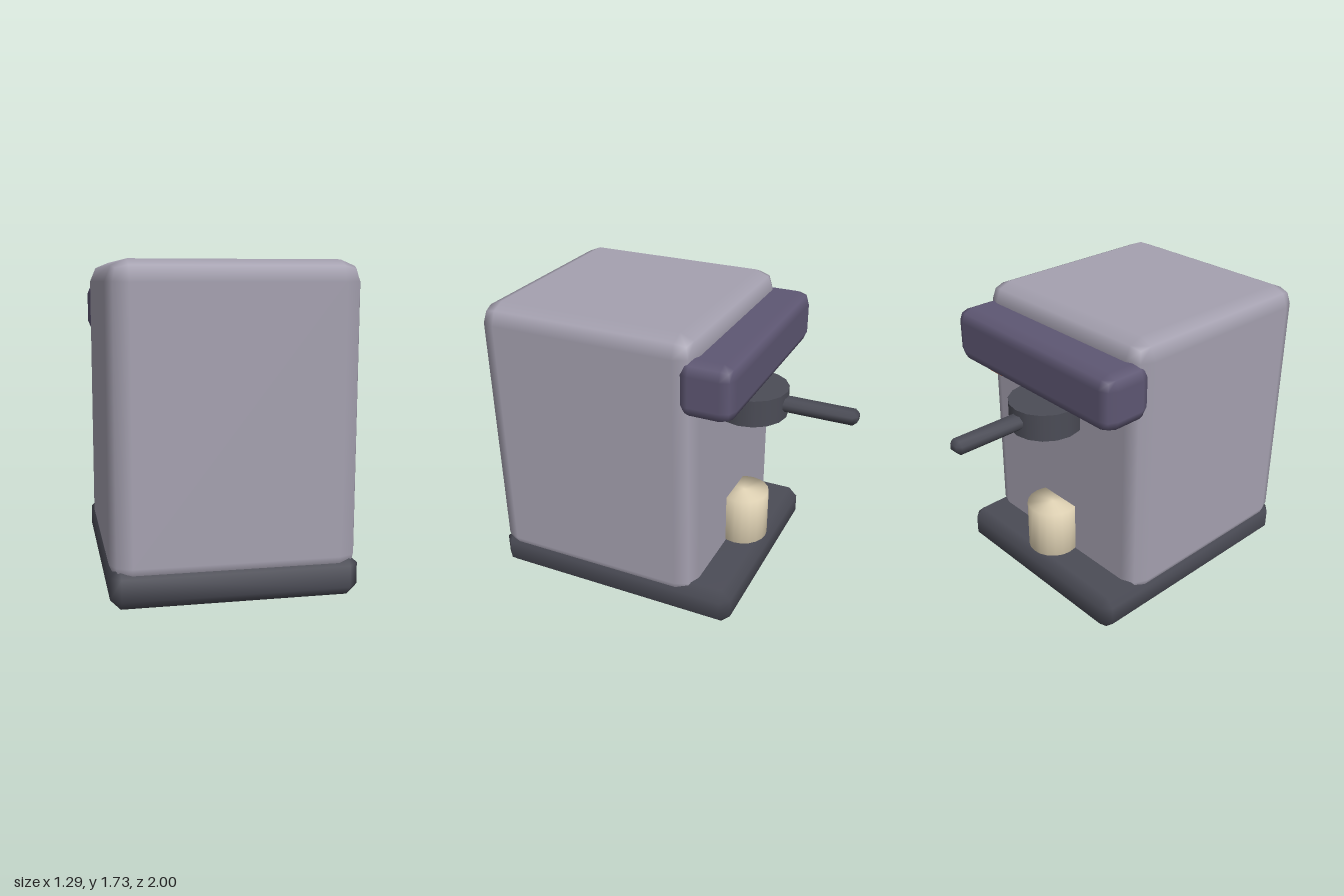
import * as THREE from 'three';
import { RoundedBoxGeometry } from 'three/addons/geometries/RoundedBoxGeometry.js';
import { ConvexGeometry } from 'three/addons/geometries/ConvexGeometry.js';
import { mergeVertices } from 'three/addons/utils/BufferGeometryUtils.js';

const mat = (color) => new THREE.MeshStandardMaterial({ color });

// Share corners and average normals for a soft low-poly look
function soften(geometry) {
  geometry.deleteAttribute('normal');
  geometry.deleteAttribute('uv');
  const merged = mergeVertices(geometry, 1e-4);
  merged.computeVertexNormals();
  return merged;
}

// Box with a single straight chamfer of size c on every edge
function chamferBox(w, h, d, c) {
  const points = [];
  for (const x of [-1, 1]) for (const y of [-1, 1]) for (const z of [-1, 1]) {
    for (let full = 0; full < 3; full++) {
      const half = [w, h, d].map((s, i) => s / 2 - (i === full ? 0 : c));
      points.push(new THREE.Vector3(x * half[0], y * half[1], z * half[2]));
    }
  }
  return soften(new ConvexGeometry(points));
}

export function createModel() {
  const model = new THREE.Group();
  const add = (name, geometry, material, x, y, z) => {
    const mesh = new THREE.Mesh(geometry, material);
    mesh.name = name;
    mesh.position.set(x, y, z);
    model.add(mesh);
  };

  const shell = mat(0xa5a1b0);
  const dark = mat(0x4b4c56);
  const purple = mat(0x5e5773);

  // Drip base and main housing
  add('base', chamferBox(1.29, 0.22, 1.51, 0.053), dark, 0, 0.11, 0.245);
  add('body', new RoundedBoxGeometry(1.29, 1.62, 1.29, 1, 0.11), shell, 0, 0.92, 0.355);

  // Overhanging control hood on the working side
  add('hood', new RoundedBoxGeometry(1.294, 0.32, 0.32, 1, 0.075), purple, 0, 1.46, -0.35);

  // Filter holder and its handle
  add('filterHolder', new THREE.CylinderGeometry(0.21, 0.21, 0.16, 16), dark, 0, 1.16, -0.38);
  add('handle', chamferBox(0.1, 0.08, 0.6, 0.024), dark, 0, 1.165, -0.7);

  // Small fittings beneath the hood
  add('copperKnob', new THREE.BoxGeometry(0.11, 0.08, 0.11), mat(0xc07050), 0.385, 1.31, -0.375);
  add('indicatorBar', new THREE.BoxGeometry(0.28, 0.06, 0.05), mat(0x86c8ac), -0.34, 1.29, -0.375);

  // Cup standing on the base
  add('cup', soften(new THREE.CylinderGeometry(0.15, 0.15, 0.3, 20)), mat(0xe8dabb), 0, 0.38, -0.35);

  return model;
}
